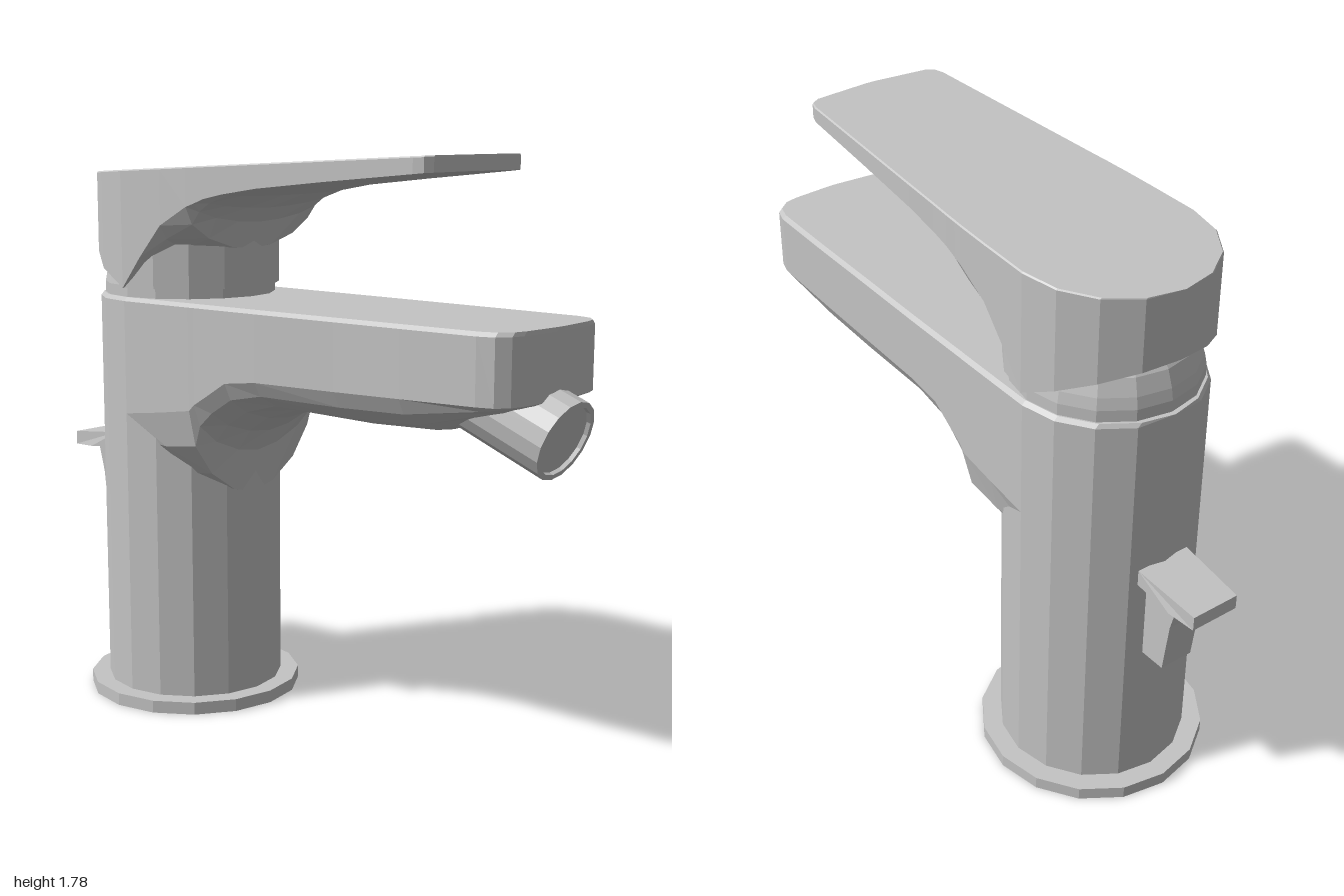
import * as THREE from 'three';

const chrome = new THREE.MeshStandardMaterial({ color: 0xc4c4c4, flatShading: true });
chrome.name = 'chrome grey';

const SIDES = 16, AXIS = -0.5;

function add(parent, name, geometry) {
  const mesh = new THREE.Mesh(geometry, chrome);
  mesh.name = name;
  parent.add(mesh);
  return mesh;
}

// Skin over cross-sections [z, halfWidth, top, sideBottom, centreBottom], listed back to front
function loft(rows, bevel) {
  const pos = [], idx = [], arc = 8;
  const n = arc + 5;
  for (const [z, w, top, side, belly] of rows) {
    const b = Math.min(bevel, w);
    pos.push(w - b, top, z, w, top - b, z);
    for (let i = 0; i <= arc; i++) {
      const t = Math.PI * i / arc, c = Math.cos(t);
      pos.push(w * Math.sign(c) * Math.abs(c) ** 1.2, side - (side - belly) * Math.sin(t), z);
    }
    pos.push(-w, top - b, z, -w + b, top, z);
  }
  for (let i = 0; i < rows.length - 1; i++) {
    for (let j = 0; j < n; j++) {
      const k = (j + 1) % n;
      const a = i * n + j, b = i * n + k, c = b + n, d = a + n;
      idx.push(a, d, b, d, c, b);
    }
  }
  const f = (rows.length - 1) * n;
  for (let j = 1; j < n - 1; j++) idx.push(f, f + j + 1, f + j);
  const g = new THREE.BufferGeometry();
  g.setAttribute('position', new THREE.Float32BufferAttribute(pos, 3));
  g.setIndex(idx);
  g.computeVertexNormals();
  return g;
}

// Sections of a rounded back, matching the sides of the column
function roundBack(r, top, bottom) {
  return [4, 3, 2, 1].map(k => {
    const a = k * 2 * Math.PI / SIDES, z = AXIS - r * Math.sin(a);
    return [z, r * Math.cos(a), top(z), bottom(z), bottom(z)];
  });
}

// Side profile in (z, y) extruded across x
function sidePlate(points, width) {
  const s = new THREE.Shape(points.map(([z, y]) => new THREE.Vector2(-z, y)));
  const g = new THREE.ExtrudeGeometry(s, { depth: width, bevelEnabled: false });
  g.translate(0, 0, -width / 2);
  g.rotateY(Math.PI / 2);
  return g;
}

export function createModel() {
  const model = new THREE.Group();
  model.name = 'basinTap';

  // Base flange and column
  add(model, 'baseFlange', new THREE.CylinderGeometry(0.35, 0.35, 0.04, SIDES)).position.set(0, 0.02, AXIS);
  add(model, 'column', new THREE.CylinderGeometry(0.29, 0.29, 0.98, SIDES)).position.set(0, 0.51, AXIS);

  // Spout: flat top, straight walls and a rounded belly that flows into the column
  const T = 1.33;
  add(model, 'spout', loft([
    ...roundBack(0.29, () => T, () => 0.98),
    [-0.5, 0.29, T, 0.96, 0.75],
    [-0.35, 0.287, T, 0.98, 0.69],
    [-0.22, 0.284, T, 1.0, 0.7],
    [-0.2, 0.283, T, 1.02, 0.84],
    [-0.15, 0.282, T, 1.05, 0.91],
    [-0.07, 0.28, T, 1.1, 0.96],
    [0.05, 0.277, T, 1.115, 1.0],
    [0.35, 0.267, T, 1.12, 0.995],
    [0.58, 0.26, T, 1.125, 1.005],
    [0.83, 0.25, T, 1.13, 1.09],
    [0.88, 0.235, T, 1.13, 1.11],
    [0.91, 0.2, T, 1.13, 1.12],
    [0.92, 0.16, T, 1.13, 1.125],
    [0.93, 0.02, T, 1.13, 1.129],
  ], 0.012));

  // Tilted outlet with a recessed face
  const outlet = [[0, -0.4], [0.122, -0.4], [0.122, 0], [0.106, 0], [0.104, -0.012], [0, -0.012]];
  const nozzle = add(model, 'outletNozzle',
    new THREE.LatheGeometry(outlet.map(p => new THREE.Vector2(...p)), SIDES));
  nozzle.position.set(0, 1.018, 0.955);
  nozzle.rotation.x = Math.PI / 2 + 0.37;

  // Neck under the handle
  const neck = [[0.275, 1.32], [0.275, 1.365], [0.268, 1.4], [0.25, 1.45], [0.21, 1.5], [0, 1.54]];
  add(model, 'neck', new THREE.LatheGeometry(neck.map(p => new THREE.Vector2(...p)), SIDES))
    .position.z = AXIS;

  // Handle: lever skin plus a round hub whose underside rises towards the back
  const handle = new THREE.Group();
  handle.name = 'handle';
  model.add(handle);
  const top = z => 1.71 + 0.05 * (z + 0.79);
  const under = z => 1.36 + 0.48 * Math.max(0, AXIS - z);
  const lever = [
    [-0.5, 0.295, 1.36, 1.36],
    [-0.42, 0.293, 1.46, 1.4],
    [-0.33, 0.291, 1.56, 1.45],
    [-0.22, 0.287, 1.62, 1.48],
    [-0.19, 0.285, 1.63, 1.565],
    [-0.15, 0.283, 1.645, 1.61],
    [-0.08, 0.278, 1.66, 1.65],
    [0.05, 0.27, 1.68, 1.675],
    [0.3, 0.254, 1.705, 1.7],
    [0.6, 0.235, 1.732, 1.73],
    [0.63, 0.225, 1.735, 1.733],
    [0.645, 0.2, 1.736, 1.735],
    [0.66, 0.02, 1.738, 1.737],
  ].map(([z, w, side, belly]) => [z, w, top(z), side, belly]);
  add(handle, 'lever', loft([...roundBack(0.295, top, under), ...lever], 0.004));

  const hub = new THREE.CylinderGeometry(0.289, 0.289, 0.22, SIDES);
  hub.translate(0, 1.47, AXIS);
  const p = hub.attributes.position;
  for (let i = 0; i < p.count; i++) {
    if (p.getY(i) < 1.4) p.setY(i, under(p.getZ(i)) + 0.001);
  }
  hub.computeVertexNormals();
  add(handle, 'handleHub', hub);

  // Waste control at the back: thumb plate on a tapered stem
  const knob = new THREE.Group();
  knob.name = 'wasteControl';
  model.add(knob);
  const plate = sidePlate([[-0.78, 0.835], [-0.78, 0.785], [-0.91, 0.77], [-1, 0.765], [-1, 0.81]], 0.18);
  const q = plate.attributes.position;
  for (let i = 0; i < q.count; i++) if (q.getZ(i) < -0.95) q.setX(i, q.getX(i) * 0.88);
  plate.computeVertexNormals();
  add(knob, 'thumbPlate', plate);
  add(knob, 'stem', sidePlate([[-0.78, 0.8], [-0.78, 0.515], [-0.865, 0.515], [-0.885, 0.68], [-0.91, 0.775]], 0.11));

  return model;
}
